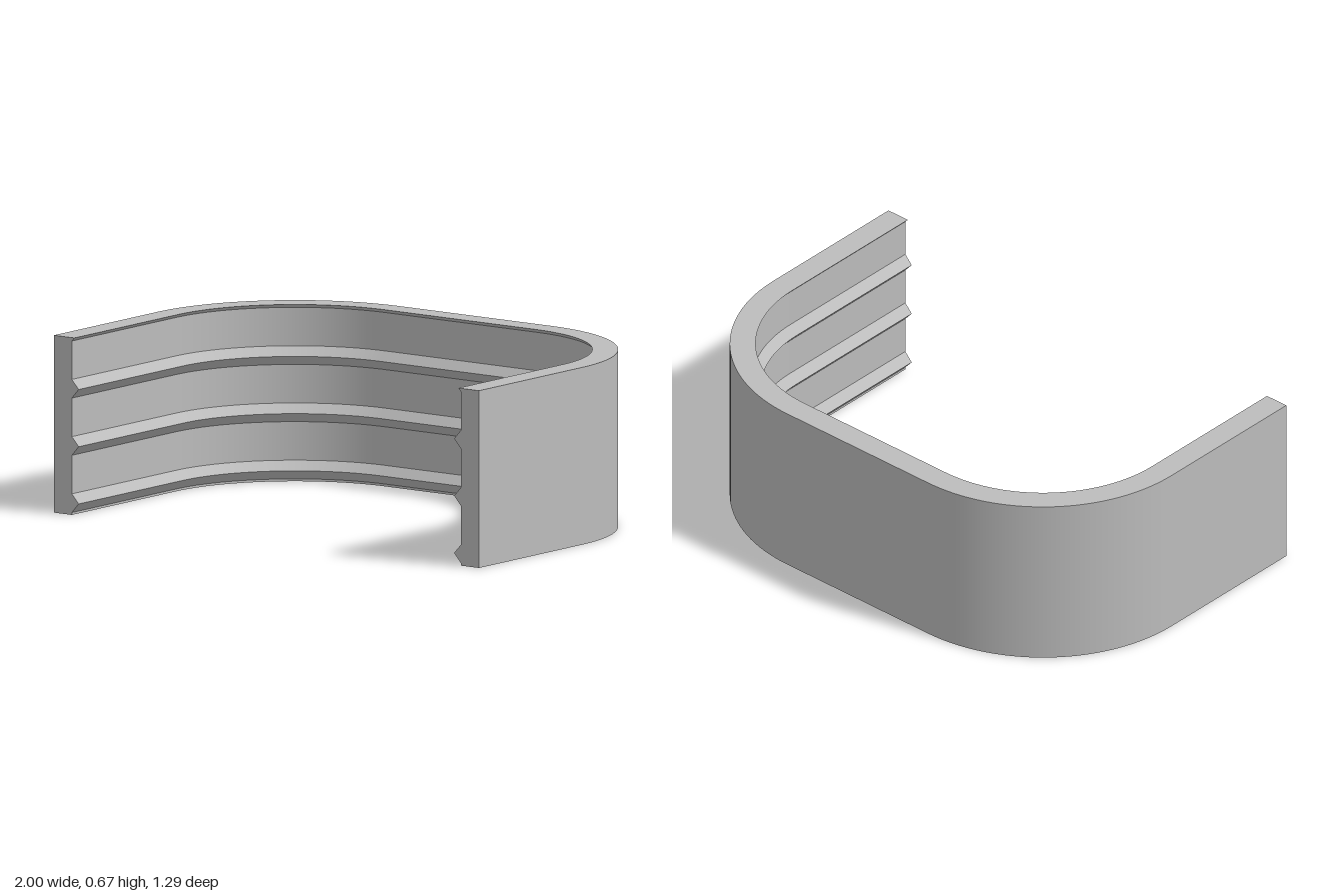
import * as THREE from 'three';

const R = 0.645;        // outer corner radius, also half the depth
const CX = 1 - R;       // x of the corner centres
const H = 0.674;        // height
const INNER = 0.915;    // x of the inner wall face
const TIP = 0.883;      // x of the ridge tips

// Wall cross-section (x, y), counter-clockwise, with ridges on the inner side
function wallProfile() {
  const inner = [[INNER, 0]];
  for (let i = 0; i < 3; i++) {
    const y = 0.009 + i * 0.2175;
    inner.push([INNER, y], [TIP, y + 0.036], [INNER, y + 0.071]);
  }
  // start of a cut-off ridge that forms the top lip
  inner.push([INNER, 0.661], [0.903, H]);
  return [[1, 0], [1, H], ...inner.reverse()];
}

// Plan path: each station has a centre (x, z) and an outward direction
function planPath(steps = 32) {
  const path = [{ x: CX, z: R, nx: 1, nz: 0 }];
  for (const side of [0, 1]) {
    for (let i = 0; i <= steps; i++) {
      const a = (side + i / steps) * Math.PI / 2;
      path.push({ x: side ? -CX : CX, z: 0, nx: Math.cos(a), nz: -Math.sin(a) });
    }
  }
  path.push({ x: -CX, z: R, nx: -1, nz: 0 });
  return path;
}

// Sweep the profile: creased between its edges, smooth along the path
function sweep(profile, path) {
  const pos = [], nor = [], idx = [];
  profile.forEach((p, i) => {
    const q = profile[(i + 1) % profile.length];
    const n = new THREE.Vector2(q[1] - p[1], p[0] - q[0]).normalize();
    const base = pos.length / 3;
    path.forEach((s, k) => {
      for (const [x, y] of [p, q]) {
        pos.push(s.x + s.nx * (x - CX), y, s.z + s.nz * (x - CX));
        nor.push(s.nx * n.x, n.y, s.nz * n.x);
      }
      if (k) {
        const a = base + (k - 1) * 2;
        idx.push(a, a + 2, a + 1, a + 1, a + 2, a + 3);
      }
    });
  });
  const g = new THREE.BufferGeometry();
  g.setAttribute('position', new THREE.Float32BufferAttribute(pos, 3));
  g.setAttribute('normal', new THREE.Float32BufferAttribute(nor, 3));
  g.setIndex(idx);
  return g;
}

export function createModel() {
  const group = new THREE.Group();
  group.name = 'ridgedBracket';
  const grey = new THREE.MeshStandardMaterial({ color: 0xbcbcbc });
  grey.name = 'grey';
  const profile = wallProfile();

  const wall = new THREE.Mesh(sweep(profile, planPath()), grey);
  wall.name = 'ridgedWall';
  group.add(wall);

  // Flat ends of the two arms
  for (const [name, side] of [['leftEnd', 1], ['rightEnd', -1]]) {
    const shape = new THREE.Shape(profile.map(([x, y]) => new THREE.Vector2(x * side, y)));
    const cap = new THREE.Mesh(new THREE.ShapeGeometry(shape), grey);
    cap.name = name;
    cap.position.z = R;
    group.add(cap);
  }
  return group;
}
